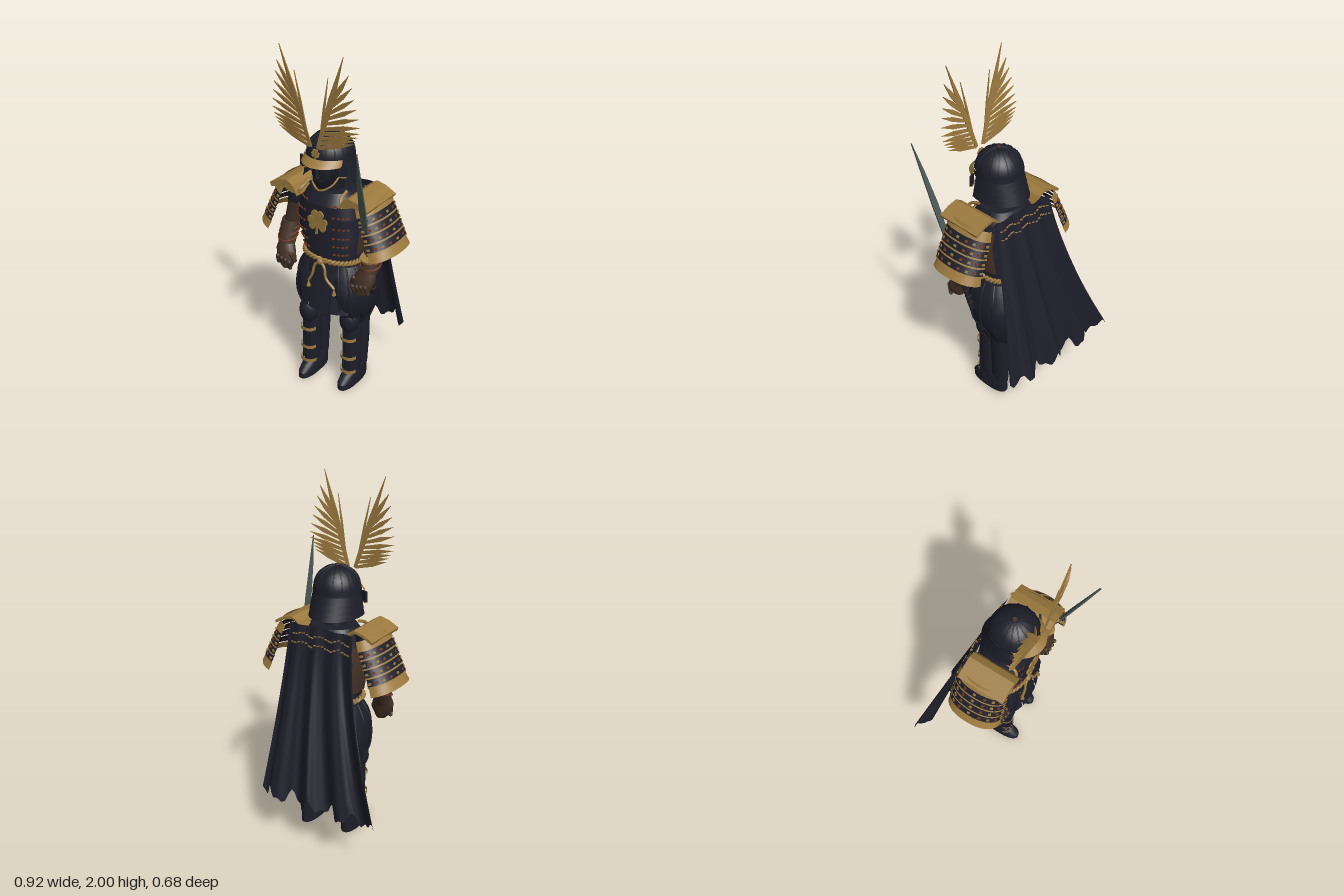
import * as THREE from 'three';
import { toCreasedNormals } from 'three/addons/utils/BufferGeometryUtils.js';

const paint = (name, color) => {
  const m = new THREE.MeshStandardMaterial({ color, side: THREE.DoubleSide });
  m.name = name;
  return m;
};
const navy = paint('dark navy', 0x1e1e2a), mask = paint('mask black', 0x191922);
const gold = paint('old gold', 0x9c7a3e), brown = paint('brown leather', 0x453228);
const red = paint('rust lacing', 0x7c3a20), steel = paint('grey steel', 0x4b5856);

const TAU = Math.PI * 2, CX = 0.033;
const lerp = THREE.MathUtils.lerp;

function add(parent, name, geo, mat, pos = [0, 0, 0], rot = [0, 0, 0], scale = [1, 1, 1]) {
  const m = new THREE.Mesh(geo, mat);
  m.name = name;
  m.position.set(...pos); m.rotation.set(...rot); m.scale.set(...scale);
  parent.add(m);
}

// Point on a rounded section; angle 0 is the front, a quarter turn is +x
function onRing([y, cx, cz, rx, rz], a, p = 2) {
  const f = (v) => Math.sign(v) * Math.abs(v) ** (2 / p);
  return [cx + rx * f(Math.sin(a)), y, cz + rz * f(Math.cos(a))];
}

// Skin over rings [y, cx, cz, rx, rz] listed from bottom to top, full or partial arc
function loft(rings, { seg = 20, from = 0, to = TAU, p = 2, caps = true } = {}) {
  const list = caps && to - from > 6.2
    ? [[...rings[0].slice(0, 3), 0, 0], ...rings, [...rings.at(-1).slice(0, 3), 0, 0]] : rings;
  const pos = [], idx = [];
  list.forEach((r, j) => {
    for (let i = 0; i <= seg; i++) pos.push(...onRing(r, lerp(from, to, i / seg), p));
    if (j) for (let i = 0; i < seg; i++) {
      const b = (j - 1) * (seg + 1) + i, t = b + seg + 1;
      idx.push(b, b + 1, t + 1, b, t + 1, t);
    }
  });
  const g = new THREE.BufferGeometry();
  g.setAttribute('position', new THREE.Float32BufferAttribute(pos, 3));
  g.setIndex(idx);
  return toCreasedNormals(g, 0.7);
}

function plate(points, depth) {
  const s = new THREE.Shape(points.map(([x, y]) => new THREE.Vector2(x, y)));
  return new THREE.ExtrudeGeometry(s, { depth, bevelEnabled: false });
}
const tube = (pts, r, n = 16, closed = false) => new THREE.TubeGeometry(
  new THREE.CatmullRomCurve3(pts.map((p) => new THREE.Vector3(...p)), closed), n, r, 6, closed);

// Flower ornament: three heart petals and a stem
function flower(parent, name, size, pos) {
  const g = new THREE.Group();
  g.name = name; g.position.set(...pos); g.scale.set(size, size, 1);
  const s = new THREE.Shape();
  s.bezierCurveTo(-0.25, 0.15, -0.75, 0.6, -0.45, 0.9);
  s.bezierCurveTo(-0.3, 1.08, -0.05, 1.02, 0, 0.82);
  s.bezierCurveTo(0.05, 1.02, 0.3, 1.08, 0.45, 0.9);
  s.bezierCurveTo(0.75, 0.6, 0.25, 0.15, 0, 0);
  const petal = new THREE.ExtrudeGeometry(s, { depth: 0.008, bevelEnabled: false, curveSegments: 6 });
  for (const a of [0, 1.85, -1.85]) add(g, 'petal', petal, gold, [0, 0, 0], [0, 0, a], [1.1, a ? 0.9 : 1, 1]);
  add(g, 'stem', plate([[-0.06, 0], [-0.2, -1.1], [-0.02, -1.1], [0.1, 0]], 0.008), gold);
  parent.add(g);
}

function buildHead(body) {
  const head = new THREE.Group();
  head.name = 'head';
  const z = 0.062;
  add(head, 'neck', loft([[1.18, 0, 0.04, 0.07, 0.07], [1.3, 0, 0.05, 0.06, 0.06]]), mask);
  add(head, 'faceMask', loft([[1.25, 0, 0.11, 0.035, 0.05], [1.29, 0, 0.09, 0.065, 0.09],
    [1.35, 0, 0.08, 0.085, 0.1], [1.43, 0, z, 0.09, 0.1]]), mask);
  add(head, 'nose', new THREE.ConeGeometry(0.018, 0.055, 5), mask, [0, 1.355, 0.182]);
  add(head, 'mouth', new THREE.BoxGeometry(0.055, 0.012, 0.02), navy, [0, 1.312, 0.172]);
  add(head, 'chinCord', tube([[-0.085, 1.33, 0.1], [-0.06, 1.28, 0.14], [0, 1.25, 0.165],
    [0.06, 1.28, 0.14], [0.085, 1.33, 0.1]], 0.006), gold);
  // Ribbed bowl
  add(head, 'helmetDome', new THREE.SphereGeometry(1, 32, 12, 0, TAU, 0, Math.PI / 2), navy,
    [0, 1.43, z], [0, 0, 0], [0.124, 0.116, 0.128]);
  const rib = new THREE.TorusGeometry(0.125, 0.0035, 5, 12, Math.PI / 2);
  for (let i = 0; i < 16; i++) add(head, 'helmetRib', rib, navy, [0, 1.43, z], [0, i * TAU / 16, 0], [1, 0.94, 1]);
  add(head, 'helmetBand', loft([[1.405, 0, z, 0.13, 0.133], [1.435, 0, z, 0.128, 0.131]], { seg: 32, caps: false }), navy);
  add(head, 'crownRing', new THREE.CylinderGeometry(0.01, 0.013, 0.01, 12), brown, [0, 1.55, z]);
  add(head, 'browVisor', loft([[1.4, 0, z, 0.138, 0.172], [1.434, 0, z, 0.13, 0.132]],
    { from: -1.1, to: 1.1 }), gold);
  // Flaring neck guard in rows
  for (let i = 0; i < 4; i++) {
    const y = 1.415 - i * 0.032, k = i / 3;
    add(head, 'neckGuardRow', loft([[y - 0.035, 0, z, lerp(0.132, 0.143, k), lerp(0.142, 0.176, k)],
      [y, 0, z, lerp(0.126, 0.136, k), lerp(0.13, 0.163, k)]], { from: 1.2, to: TAU - 1.2 }), navy);
  }
  for (const s of [-1, 1]) {
    add(head, 'sideFlap', new THREE.BoxGeometry(0.04, 0.055, 0.012), navy, [s * 0.125, 1.378, 0.135], [0, s * 0.5, 0]);
    add(head, 'flapTrim', new THREE.BoxGeometry(0.04, 0.006, 0.014), gold, [s * 0.125, 1.347, 0.135], [0, s * 0.5, 0]);
    // Feathered crest: shaft, outer barbs and one inner spike
    const crest = new THREE.Group();
    crest.name = 'crest'; crest.position.set(0, 1.48, 0.2); crest.rotation.set(0.07, s * 0.08, 0);
    const blade = (name, bx, by, tx, ty, w) => {
      const l = Math.hypot(tx - bx, ty - by), nx = -(ty - by) / l * w, ny = (tx - bx) / l * w;
      const mx = lerp(bx, tx, 0.55), my = lerp(by, ty, 0.55);
      add(crest, name, plate([[bx - nx * 0.6, by - ny * 0.6], [mx - nx, my - ny], [tx, ty], [mx + nx, my + ny],
        [bx + nx * 0.6, by + ny * 0.6]].map(([x, y]) => [s * x, y - 1.48]), 0.006), gold);
    };
    blade('crestShaft', 0.022, 1.5, 0.187, 2.0, 0.016);
    blade('crestSpike', 0.035, 1.54, 0.1, 1.885, 0.006);
    const tips = new THREE.CatmullRomCurve3([[0.225, 1.565], [0.262, 1.64], [0.24, 1.8], [0.187, 2.0]]
      .map(([x, y]) => new THREE.Vector3(x, y, 0)));
    for (let i = 0; i < 10; i++) {
      const p = tips.getPoint(i / 10.5), k = i / 9;
      blade('crestBarb', lerp(0.028, 0.11, k), lerp(1.503, 1.755, k), p.x, p.y, 0.012);
    }
    head.add(crest);
  }
  flower(head, 'helmetFlower', 0.025, [0, 1.463, 0.19]);
  body.add(head);
}

function buildTorso(body) {
  // Overlapping cuirass bands [y, height, lower rx, upper rx, depth]
  const bands = [[0.81, 0.07, 0.165, 0.16, 0.128], [0.875, 0.06, 0.17, 0.163, 0.134], [0.93, 0.06, 0.178, 0.168, 0.14],
    [0.985, 0.06, 0.19, 0.178, 0.142], [1.04, 0.07, 0.194, 0.186, 0.142], [1.105, 0.07, 0.188, 0.165, 0.142],
    [1.17, 0.065, 0.16, 0.12, 0.14]];
  bands.forEach(([y, h, r0, r1, d], i) => {
    const cz = lerp(0.015, 0.035, Math.min(1, i / 3));
    add(body, 'cuirassBand', loft([[y, 0, cz, r0, d], [y + h, 0, cz, r1, i === 6 ? 0.105 : d - 0.006]], { p: 2.6, seg: 32 }), navy);
    // Lacing dashes on either side of the chest
    for (const s of [-1, 1]) for (let k = 0; k < 4; k++) {
      const a = s * (0.4 + k * 0.17), [x, , z] = onRing([0, 0, cz, r0, d + 0.001], a, 2.6);
      add(body, 'chestLacing', new THREE.BoxGeometry(0.014, 0.008, 0.005), red, [x, y + 0.012, z], [0, a * 0.5, s * 0.3]);
    }
  });
  for (const s of [-1, 1]) {
    add(body, 'shoulderStrap', tube([[s * 0.12, 1.25, 0.09], [s * 0.125, 1.225, 0.15], [s * 0.145, 1.19, 0.168]], 0.009), gold);
    add(body, 'underarmPanel', loft([[0.88, 0, 0.025, 0.176, 0.14], [1.05, 0, 0.035, 0.2, 0.146], [1.15, 0, 0.035, 0.185, 0.146]],
      { p: 2.6, from: s * 1.75 - 0.4, to: s * 1.75 + 0.4 }), brown);
  }
  flower(body, 'chestFlower', 0.066, [0, 1.074, 0.178]);
  // Twisted rope belt with hanging ends
  for (const ph of [0, Math.PI]) {
    const pts = [];
    for (let i = 0; i < 120; i++) {
      const a = i / 120 * TAU, t = a * 20 + ph, k = 0.008 * Math.cos(t);
      pts.push(onRing([0.832 + 0.008 * Math.sin(t), 0, 0.012, 0.171 + k, 0.14 + k], a, 2.4));
    }
    add(body, 'ropeBelt', tube(pts, 0.008, 240, true), gold);
  }
  add(body, 'beltKnot', new THREE.SphereGeometry(0.02, 10, 8), gold, [0, 0.825, 0.158]);
  for (const [s, x] of [[-1, 0.07], [1, 0.1]]) {
    add(body, 'beltCord', tube([[0, 0.825, 0.16], [s * 0.03, 0.8, 0.166], [s * 0.045, 0.74, 0.172], [s * x, 0.69, 0.172]], 0.008), gold);
    add(body, 'beltTassel', new THREE.ConeGeometry(0.013, 0.04, 8), gold, [s * x, 0.675, 0.174]);
  }
  // Front skirt: three hanging panels made of overlapping rows
  for (let n = -1; n <= 1; n++) for (let i = 0; i < 4; i++) {
    const at = (k, out) => [lerp(0.81, 0.525, k), 0, 0, lerp(0.17, 0.215, k) + out, lerp(0.142, 0.182, k) + out];
    add(body, 'skirtPlate', loft([at((i + 1.08) / 4.08, 0.005), at(i / 4.08, -0.002)],
      { from: (n - 0.47) * 0.56, to: (n + 0.47) * 0.56, seg: 5, p: 2.3 }), navy);
  }
}

function buildSide(body, s) {
  // Shoulder cap curving over the arm, with a front lip
  const arc = [[0.135, 1.2], [0.155, 1.24], [0.195, 1.265], [0.25, 1.252], [0.308, 1.222]];
  const flip = (pts) => pts.map(([x, y]) => [s * x, y]);
  const cap = [...arc, ...arc.map(([x, y]) => [x - 0.004, y - 0.014]).reverse()];
  add(body, 'shoulderCap', plate(flip(cap), 0.268), gold, [0, 0, -0.083]);
  add(body, 'shoulderLip', plate(flip([...arc, [0.298, 1.2], [0.225, 1.222], [0.165, 1.2]]), 0.006), gold, [0, 0, 0.18]);
  // Laced sleeve plates, leaning outwards with the arm
  const sleeve = new THREE.Group();
  sleeve.name = 'sleeve'; sleeve.position.set(s * 0.22, 1.215, 0.032); sleeve.rotation.z = s * 0.36;
  const ring = (k, o = 0) => [-0.3 * k, 0, 0, lerp(0.074, 0.103, k) + o, lerp(0.138, 0.15, k) + o];
  const span = { from: s * Math.PI / 2 - 1.55, to: s * Math.PI / 2 + 1.55, seg: 18, p: 2.3 };
  for (let i = 0; i < 6; i++) {
    const k0 = i / 6, k1 = (i + 1.1) / 6.1, trim = i === 0 || i === 5;
    add(sleeve, 'sleevePlate', loft([ring(k1, 0.008), ring(k0)], span), trim ? gold : navy);
    if (trim) continue;
    add(sleeve, 'sleeveTrim', loft([ring(k1, 0.01), ring(k1 - 0.03, 0.009)], span), gold);
    for (let j = 0; j < 9; j++) {
      const a = lerp(span.from + 0.12, span.to - 0.12, j / 8);
      add(sleeve, 'sleeveLacing', new THREE.BoxGeometry(0.016, 0.012, 0.006), j % 2 ? red : gold,
        onRing(ring(k0 + 0.09, 0.007), a, 2.3), [0, a, 0]);
    }
  }
  body.add(sleeve);
  // Arm and hand
  add(body, 'upperSleeve', loft([[1.09, s * 0.23, 0.04, 0.057, 0.064], [1.22, s * 0.19, 0.04, 0.052, 0.062]]), navy);
  add(body, 'upperArm', loft([[0.93, s * 0.27, 0.04, 0.05, 0.055], [1.1, s * 0.228, 0.04, 0.052, 0.06]]), brown);
  add(body, 'forearm', loft([[0.79, s * 0.268, 0.118, 0.042, 0.042], [0.87, s * 0.275, 0.085, 0.053, 0.052],
    [0.96, s * 0.272, 0.045, 0.055, 0.06]]), brown);
  for (const y of [0.87, 0.9, 0.93]) add(body, 'armCord', new THREE.TorusGeometry(0.055, 0.005, 5, 20), red,
    [s * 0.274, y, 0.085 - (y - 0.87) * 0.44], [Math.PI / 2 + 0.3, 0, 0]);
  add(body, 'hand', loft([[0.7, s * 0.245, 0.135, 0.028, 0.028], [0.75, s * 0.253, 0.13, 0.062, 0.038],
    [0.8, s * 0.262, 0.122, 0.062, 0.038], [0.84, s * 0.27, 0.105, 0.046, 0.04]]), brown);
  for (let i = 0; i < 4; i++) add(body, 'finger', new THREE.CapsuleGeometry(0.012, 0.05, 3, 8), brown,
    [s * (0.215 + i * 0.026), 0.725 + i * 0.006, 0.155], [0.35, 0, s * 0.15]);
  add(body, 'thumb', new THREE.CapsuleGeometry(0.013, 0.045, 3, 8), brown, [s * 0.2, 0.775, 0.145], [0.3, 0, s * -0.4]);
  // Puffed pleated trousers
  const x = s * 0.125;
  const puff = [[0.41, x, -0.03, 0.05, 0.1], [0.46, x, -0.035, 0.065, 0.125], [0.53, x, -0.015, 0.098, 0.16],
    [0.64, s * 0.122, -0.008, 0.108, 0.172], [0.73, s * 0.112, -0.005, 0.1, 0.155], [0.8, s * 0.09, 0.005, 0.08, 0.115]];
  add(body, 'trouserLeg', loft(puff), navy);
  for (let i = 0; i < 12; i++) add(body, 'trouserPleat', tube(puff.map((r) => onRing(r, i * TAU / 12)), 0.006, 12), navy);
  // Lower leg; the right one stands a little further forward
  const leg = new THREE.Group();
  leg.name = 'lowerLeg'; leg.position.set(x, 0, -0.02 * s);
  add(leg, 'knee', new THREE.SphereGeometry(1, 16, 10), navy, [0, 0.44, 0.08], [0, 0, 0], [0.057, 0.08, 0.055]);
  add(leg, 'calf', loft([[0.08, 0, -0.035, 0.037, 0.055], [0.28, 0, -0.04, 0.044, 0.063], [0.42, 0, -0.035, 0.046, 0.065]]), navy);
  add(leg, 'shinGuard', loft([[0.1, 0, 0.05, 0.042, 0.05], [0.3, 0, 0.05, 0.048, 0.058], [0.4, 0, 0.05, 0.048, 0.058]], { p: 2.5 }), navy);
  for (const d of [-0.022, 0, 0.022]) add(leg, 'shinRib', new THREE.BoxGeometry(0.008, 0.28, 0.01), navy, [d, 0.25, 0.104], [-0.03, 0, 0]);
  for (const y of [0.105, 0.2, 0.325]) add(leg, 'shinStrap', loft([[y - 0.011, 0, 0.045, 0.052, 0.08],
    [y + 0.011, 0, 0.045, 0.052, 0.08]], { p: 2.8, from: -1.2, to: 1.2 }), gold);
  add(leg, 'boot', loft([[0, 0, 0.045, 0.045, 0.127], [0.035, 0, 0.045, 0.047, 0.127], [0.075, 0, 0.025, 0.044, 0.106],
    [0.105, 0, 0, 0.04, 0.08]], { p: 2.4 }), navy);
  body.add(leg);
}

function buildCape(root) {
  const at = (u, v) => {
    const w = v ** 1.5, hem = 0.29 + 0.03 * Math.sin(u * 37) + 0.02 * Math.sin(u * 71);
    return [lerp(-0.17, -0.455, w) + u * lerp(0.4, 0.765, w), lerp(1.24, hem, v),
      -0.1 - 0.21 * v - 0.028 * (0.15 + 0.85 * v) * Math.cos(u * TAU / 0.28)];
  };
  const g = new THREE.PlaneGeometry(1, 1, 48, 14), p = g.attributes.position;
  for (let i = 0; i < p.count; i++) p.setXYZ(i, ...at(p.getX(i) + 0.5, 0.5 - p.getY(i)));
  g.computeVertexNormals();
  add(root, 'cape', g, navy);
  // Stitched dashes near the upper hem
  for (const v of [0.05, 0.1]) for (let i = 0; i < 18; i++) {
    const u = 0.06 + i * 0.05, [x, y, z] = at(u, v + 0.008 * Math.sin(u * 22));
    add(root, 'capeStitch', new THREE.BoxGeometry(0.015, 0.005, 0.006), gold, [x, y, z - 0.002], [0, 0, 0.3 * Math.sin(u * 22)]);
  }
}

function buildSword(root) {
  const sword = new THREE.Group();
  sword.name = 'sword';
  sword.position.set(0.31, 0.92, 0.112); sword.rotation.set(0.32, 0, -0.083);
  add(sword, 'blade', plate([[-0.014, 0], [-0.022, 0.36], [-0.012, 0.55], [0.004, 0.715], [0.014, 0.36], [0.012, 0]], 0.01), steel, [0, 0, -0.005]);
  add(sword, 'guard', new THREE.CylinderGeometry(0.045, 0.045, 0.014, 16), gold);
  add(sword, 'grip', new THREE.CylinderGeometry(0.014, 0.016, 0.28, 10), mask, [0, -0.14, 0]);
  for (let i = 0; i < 6; i++) add(sword, 'gripWrap', new THREE.TorusGeometry(0.015, 0.003, 5, 12), brown, [0, -0.04 - i * 0.04, 0], [Math.PI / 2, 0, 0]);
  root.add(sword);
}

export function createModel() {
  const root = new THREE.Group();
  root.name = 'armouredWarrior';
  const body = new THREE.Group();
  body.name = 'body'; body.position.x = CX;
  root.add(body);
  buildHead(body);
  buildTorso(body);
  for (const s of [-1, 1]) buildSide(body, s);
  buildCape(root);
  buildSword(root);
  return root;
}
